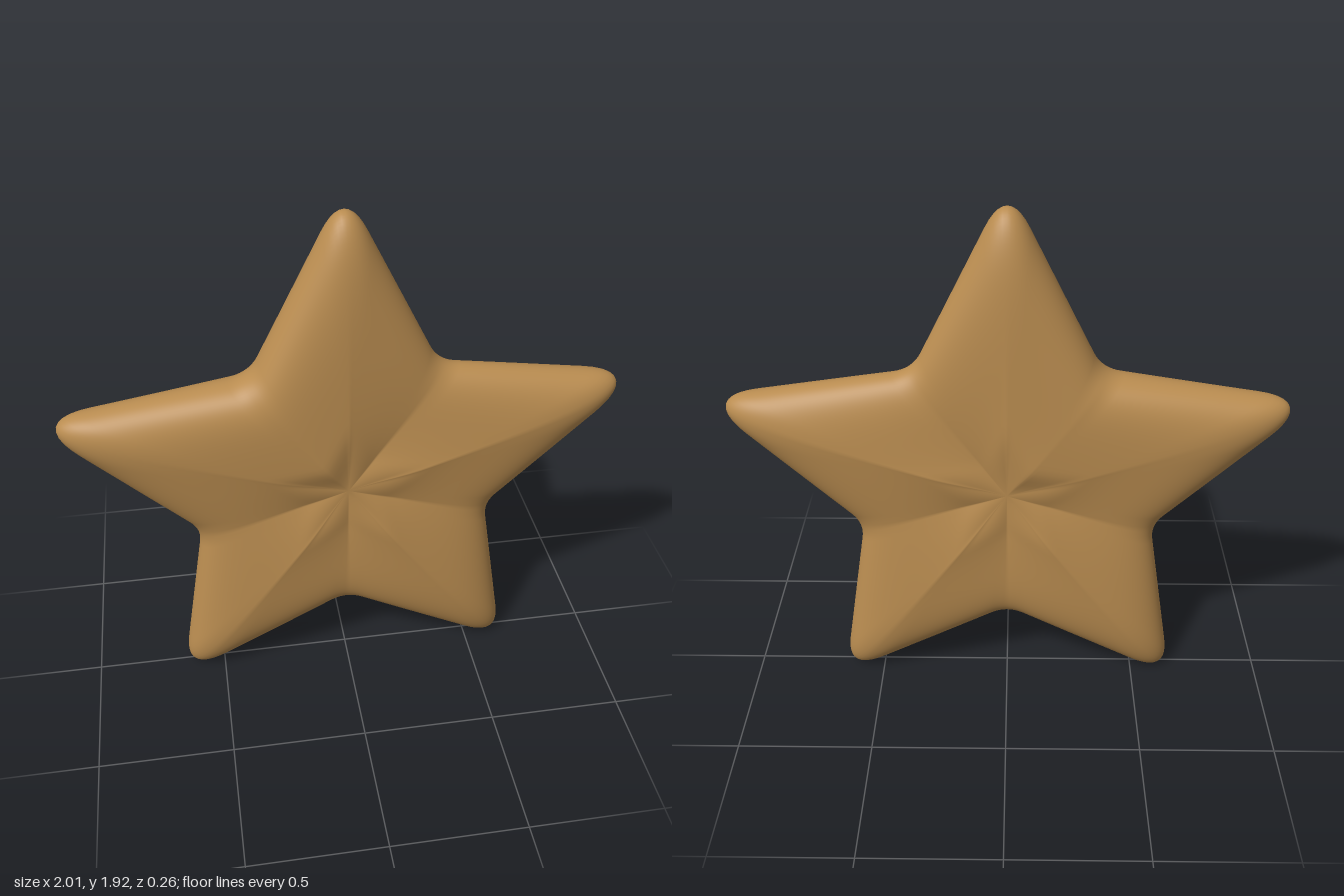
import * as THREE from 'three';

const CENTER_Y = 0.855;
const smooth = (x) => THREE.MathUtils.smoothstep(x, 0, 1);

// Closed star outline, counter-clockwise from the top tip, with rounded corners
function starOutline() {
  const corners = [];
  for (let i = 0; i < 10; i++) {
    const r = i % 2 ? 0.57 : 1.13, a = Math.PI / 2 + (i * Math.PI) / 5;
    corners.push(new THREE.Vector2(r * Math.cos(a), r * Math.sin(a)));
  }
  const points = [];
  for (let i = 0; i < 10; i++) {
    const c = corners[i], prev = corners[(i + 9) % 10], next = corners[(i + 1) % 10];
    const cut = i % 2 ? 0.1 : 0.225;
    const nextCut = i % 2 ? 0.225 : 0.1;
    const start = c.clone().lerp(prev, cut), end = c.clone().lerp(next, cut);
    points.push(...new THREE.QuadraticBezierCurve(start, c, end).getPoints(10));
    const lineEnd = next.clone().lerp(c, nextCut);
    for (let k = 1; k < 14; k++) points.push(end.clone().lerp(lineEnd, k / 14));
  }
  return points;
}

// Half thickness: ridges to the tips, valleys to the notches, dimple in the middle
function halfDepth(angle, s) {
  const turn = (((angle - Math.PI / 2) / (Math.PI * 0.4)) % 5 + 5) % 5;
  const arm = Math.round(turn);
  const a = Math.abs(turn - arm) * 2;
  const fullNotch = Math.floor(turn) === 0; // the upper notch on the model's right is filled out
  const ridge = 0.095 + 0.029 * smooth(s / 0.28);
  const swell = smooth(s / 0.3);
  const groove = (fullNotch ? -0.008 : 0.034) * Math.pow(a, 0.9) * swell;
  const p = 5.5 + 2.5 * a;
  return (ridge - groove) * Math.sqrt(Math.max(0, 1 - Math.pow(s, p)));
}

function starGeometry() {
  const outline = starOutline(), n = outline.length, rings = 36;
  const positions = [], index = [];
  // Rings run from the front centre over the rim to the back centre
  const total = rings * 2;
  positions.push(0, 0, halfDepth(0, 0));
  for (let j = 1; j < total; j++) {
    const t = j / rings;
    const s = Math.sin((Math.min(t, 2 - t) * Math.PI) / 2);
    const side = j < rings ? 1 : -1;
    for (const p of outline) {
      const z = j === rings ? 0 : side * halfDepth(Math.atan2(p.y, p.x), s);
      positions.push(p.x * s, p.y * s, z);
    }
  }
  positions.push(0, 0, -halfDepth(0, 0));
  const last = positions.length / 3 - 1;
  const at = (j, i) => 1 + (j - 1) * n + (i % n);
  for (let i = 0; i < n; i++) {
    index.push(0, at(1, i), at(1, i + 1));
    for (let j = 1; j < total - 1; j++) {
      index.push(at(j, i), at(j + 1, i), at(j + 1, i + 1));
      index.push(at(j, i), at(j + 1, i + 1), at(j, i + 1));
    }
    index.push(last, at(total - 1, i + 1), at(total - 1, i));
  }
  const geometry = new THREE.BufferGeometry();
  geometry.setAttribute('position', new THREE.Float32BufferAttribute(positions, 3));
  geometry.setIndex(index);
  geometry.computeVertexNormals();
  return geometry;
}

export function createModel() {
  const group = new THREE.Group();
  group.name = 'star';
  const bronze = new THREE.MeshStandardMaterial({ color: 0xb98c50 });
  bronze.name = 'bronze';
  const body = new THREE.Mesh(starGeometry(), bronze);
  body.name = 'starBody';
  body.position.y = CENTER_Y;
  group.add(body);
  // Rest the lower tips on the ground
  const box = new THREE.Box3().setFromObject(group);
  body.position.y -= box.min.y;
  return group;
}
